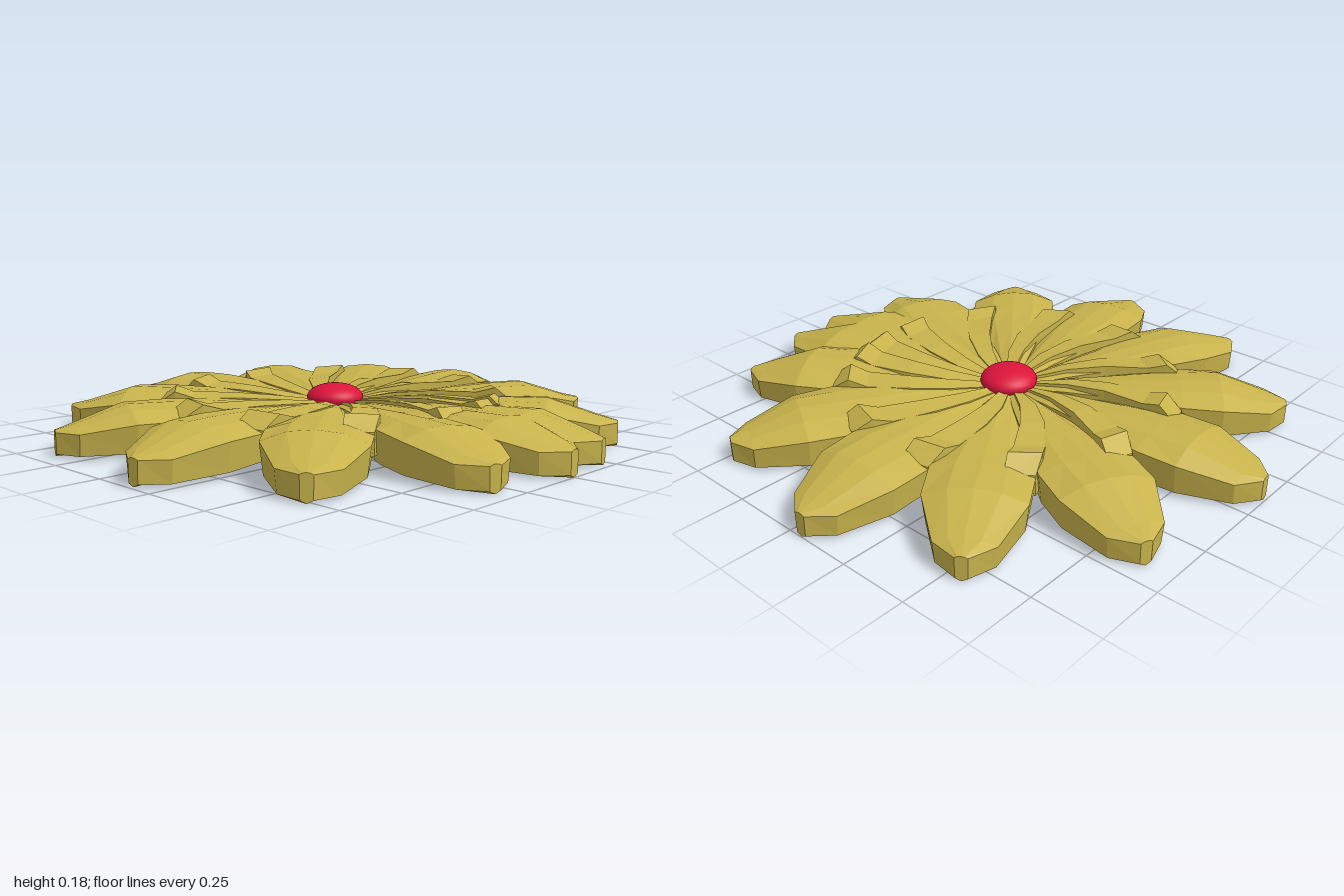
import * as THREE from 'three';

const RAD = Math.PI / 180;

// Lofts a closed solid along the radius (x); each station gives its ring of [side, height] points.
function loft(stations) {
  const pos = [];
  const rings = stations.map(({ r, bend, ring }) => ring.map(([s, y]) => {
    const c = Math.cos(bend), n = Math.sin(bend);
    return [r * c - s * n, y, -(r * n + s * c)];
  }));
  const tri = (...p) => p.forEach((v) => pos.push(...v));
  const n = rings[0].length;
  for (let k = 0; k < rings.length - 1; k++) {
    const a = rings[k], b = rings[k + 1];
    for (let j = 0; j < n; j++) {
      const m = (j + 1) % n;
      tri(a[j], b[j], a[m]);
      tri(a[m], b[j], b[m]);
    }
  }
  const first = rings[0], last = rings[rings.length - 1];
  for (let j = 1; j < n - 1; j++) {
    tri(first[0], first[j], first[j + 1]);
    tri(last[0], last[j + 1], last[j]);
  }
  const g = new THREE.BufferGeometry();
  g.setAttribute('position', new THREE.Float32BufferAttribute(pos, 3));
  g.computeVertexNormals();
  return g;
}

// Broad outer petal: arched on top, shallow keel below, slightly rolled
function petalGeometry() {
  // radius, half width, ridge height, edge height, bottom edge, roll
  const profile = [
    [0.02, 0.02, 0.115, 0.105, 0.03, 0],
    [0.20, 0.07, 0.135, 0.115, 0.03, 0.012],
    [0.45, 0.13, 0.15, 0.125, 0.03, 0.012],
    [0.62, 0.168, 0.158, 0.125, 0.025, 0.008],
    [0.76, 0.165, 0.16, 0.12, 0.02, 0.004],
    [0.935, 0.097, 0.105, 0.085, 0.012, 0],
    [0.999, 0.02, 0.09, 0.084, 0.012, 0],
  ];
  return loft(profile.map(([r, w, ridge, edge, low, roll]) => {
    const top = [-1, -0.5, 0, 0.5, 1].map((u) => {
      const t = Math.abs(u) === 0.5 ? 0.2 : Math.abs(u);
      return [u * w, ridge + (edge - ridge) * t - u * roll];
    });
    return { r, bend: 0, ring: [...top, [w * 0.93, low], [0, 0.003], [-w * 0.93, low]] };
  }));
}

// Narrow inner petal: curves sideways and ends in a raised wedge-shaped tip
function innerGeometry() {
  // radius, half width, top, bottom
  const profile = [
    [0.06, 0.012, 0.125, 0.03],
    [0.22, 0.03, 0.145, 0.03],
    [0.36, 0.042, 0.155, 0.035],
    [0.51, 0.052, 0.155, 0.04],
    [0.575, 0.056, 0.175, 0.05],
    [0.635, 0.05, 0.13, 0.05],
  ];
  return loft(profile.map(([r, w, top, low]) => ({
    r,
    bend: (0.57 - r) * 35 * RAD,
    ring: [[-w, top + 0.003], [w, top - 0.005], [w, low], [-w, low]],
  })));
}

export function createModel() {
  const flower = new THREE.Group();
  flower.name = 'flower';
  const gold = new THREE.MeshStandardMaterial({ color: 0xc8b34c, flatShading: true });
  gold.name = 'petal gold';
  const red = new THREE.MeshStandardMaterial({ color: 0xdc143c });
  red.name = 'centre red';

  const add = (name, geometry, material, angle = 0) => {
    const mesh = new THREE.Mesh(geometry, material);
    mesh.name = name;
    mesh.rotation.y = angle * RAD;
    flower.add(mesh);
    return mesh;
  };

  // Thirteen petals, each turned 31 degrees, so the last overlaps the first
  const outer = petalGeometry(), inner = innerGeometry();
  for (let i = 0; i < 13; i++) {
    add('outerPetal', outer, gold, i * 31);
    add('innerPetal', inner, gold, i * 31 + 13);
  }

  // Low domed centre
  const centre = add('centre', new THREE.SphereGeometry(0.103, 32, 20), red);
  centre.position.y = 0.135;
  centre.scale.y = 0.5;
  return flower;
}
